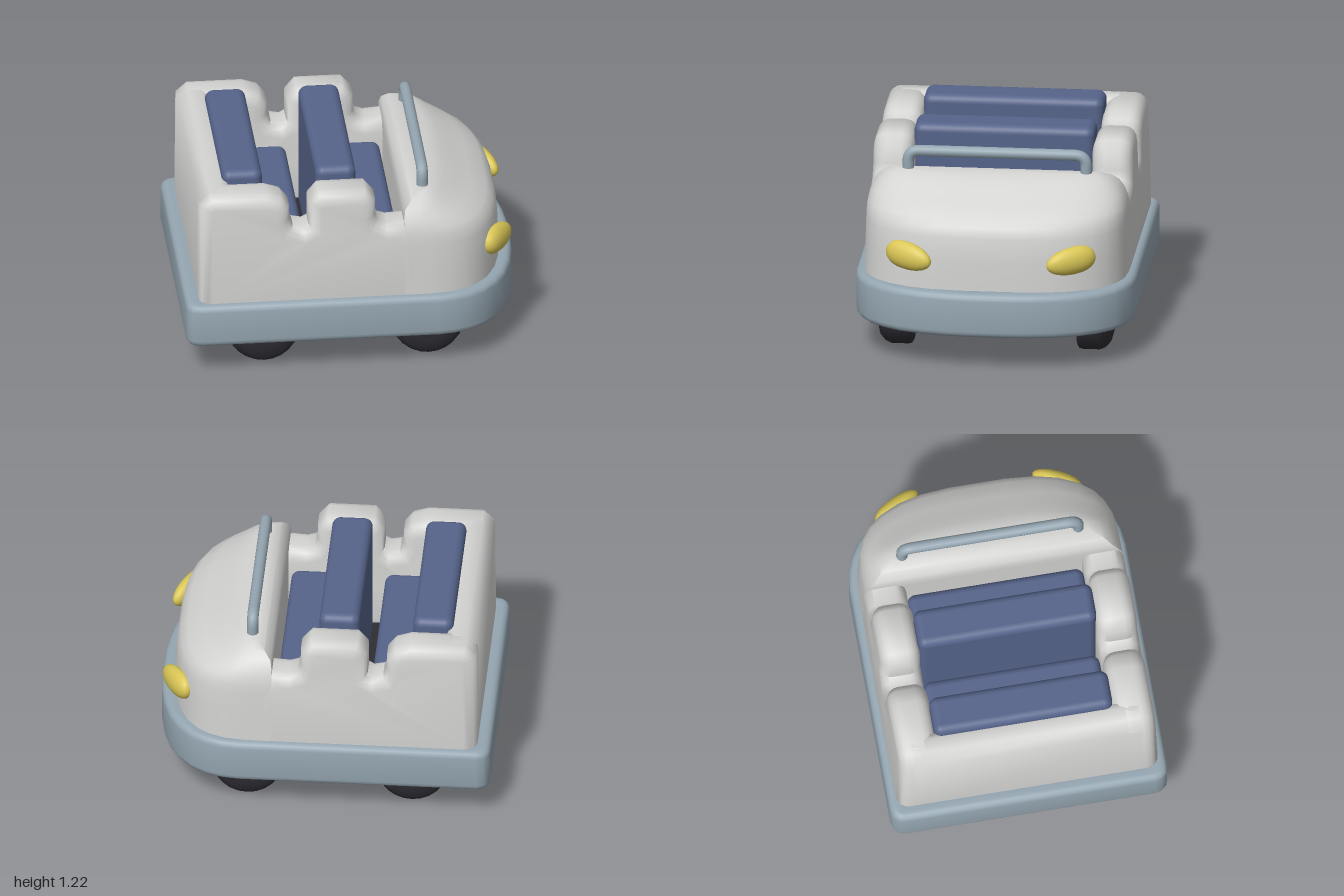
import * as THREE from 'three';
import { toCreasedNormals } from 'three/addons/utils/BufferGeometryUtils.js';
import { RoundedBoxGeometry } from 'three/addons/geometries/RoundedBoxGeometry.js';

const flat = (name, color) => {
  const m = new THREE.MeshStandardMaterial({ color });
  m.name = name;
  return m;
};

const shapeOf = (pts) => new THREE.Shape(pts.map(([x, y]) => new THREE.Vector2(x, y)));

// Extrusion whose bevel stays inside the given outline and depth
function extrude(shape, depth, bevel) {
  return new THREE.ExtrudeGeometry(shape, {
    depth: depth - 2 * bevel, bevelEnabled: bevel > 0, bevelSize: bevel,
    bevelThickness: bevel, bevelOffset: -bevel, bevelSegments: 4, curveSegments: 8,
  }).translate(0, 0, bevel);
}

// Chassis plan: square back, rounded nose, mirrored over the centre line
function planPoints(scale) {
  const half = [[-1, 0.75], [-0.99, 0.79], [-0.965, 0.82], [-0.92, 0.833], [0.5, 0.833], [0.6, 0.82], [0.69, 0.79],
    [0.78, 0.735], [0.86, 0.645], [0.92, 0.54], [0.965, 0.4], [0.99, 0.25], [1, 0.12]];
  return [...half, ...half.map(([x, y]) => [x, -y]).reverse()]
    .map(([x, y]) => [x * scale, y * scale]).reverse();
}

// Nose: stacked horizontal sections, each [height, back x, front x, half width]
function noseGeometry() {
  const layers = [[0.4, 0.3, 0.915, 0.791], [0.66, 0.3, 0.914, 0.784], [0.8, 0.3, 0.903, 0.78],
    [0.86, 0.3, 0.884, 0.776], [0.905, 0.3, 0.843, 0.768], [0.96, 0.3, 0.745, 0.748],
    [1.01, 0.31, 0.655, 0.715], [1.05, 0.35, 0.59, 0.67], [1.08, 0.4, 0.52, 0.6]];
  const half = [[0, 1], [0.25, 0.997], [0.45, 0.98], [0.6, 0.935], [0.72, 0.87], [0.83, 0.765],
    [0.92, 0.615], [0.975, 0.44], [1, 0.22]];
  const ring = [...half, ...half.map(([u, v]) => [u, -v]).reverse()];
  const n = ring.length, pos = [], idx = [];
  for (const [y, b, f, w] of layers) {
    for (const [u, v] of ring) pos.push(b + (f - b) * u, y, w * v);
  }
  for (let j = 0; j < layers.length - 1; j++) {
    for (let i = 0; i < n; i++) {
      const a = j * n + i, b = j * n + (i + 1) % n;
      idx.push(a, b, b + n, a, b + n, a + n);
    }
  }
  const top = (layers.length - 1) * n;
  for (let i = 1; i < n - 1; i++) idx.push(top, top + i, top + i + 1);
  const g = new THREE.BufferGeometry();
  g.setAttribute('position', new THREE.Float32BufferAttribute(pos, 3));
  g.setIndex(idx);
  return toCreasedNormals(g, 0.75);
}

// Side wall with two raised armrests and two entry dips
function sideWallGeometry() {
  const g = extrude(shapeOf([[-0.922, 0.4], [0.42, 0.4], [0.42, 0.8], [0.31, 0.94], [0.2, 0.932],
    [0.15, 0.95], [0.13, 1.0], [0.13, 1.1], [0.07, 1.17], [-0.21, 1.17], [-0.268, 1.1], [-0.268, 0.95],
    [-0.3, 0.932], [-0.36, 0.945], [-0.382, 1.0], [-0.382, 1.08], [-0.43, 1.14], [-0.52, 1.17],
    [-0.85, 1.17], [-0.917, 1.11]]), 0.26, 0.075).translate(0, 0, 0.53);
  // Lean the outer face slightly inwards with height
  const p = g.attributes.position;
  for (let i = 0; i < p.count; i++) {
    if (p.getZ(i) > 0.66) p.setZ(i, p.getZ(i) - 0.025 * (p.getY(i) - 0.4));
  }
  return toCreasedNormals(g, 0.9);
}

// Headlamp: blunt ellipsoid, fuller at its outer end
function lampGeometry() {
  const g = new THREE.SphereGeometry(1, 20, 14);
  const p = g.attributes.position;
  for (let i = 0; i < p.count; i++) {
    const z = p.getZ(i), k = 1 + 0.14 * z;
    p.setXYZ(i, p.getX(i) * k, p.getY(i) * k, Math.sign(z) * Math.abs(z) ** 0.85);
  }
  g.computeVertexNormals();
  return g;
}

export function createModel() {
  const model = new THREE.Group();
  const body = flat('body grey', 0xd3d3d2);
  const trim = flat('bumper blue grey', 0x95a6b1);
  const cloth = flat('seat blue', 0x56648a);
  const lamp = flat('lamp yellow', 0xd9c656);
  const dark = flat('rubber black', 0x2e2d33);

  const add = (name, geometry, material, x = 0, y = 0, z = 0) => {
    const mesh = new THREE.Mesh(geometry, material);
    mesh.name = name;
    mesh.position.set(x, y, z);
    model.add(mesh);
    return mesh;
  };

  // Bumper ring and recessed floor pan
  const ring = shapeOf(planPoints(1));
  ring.holes.push(new THREE.Path(planPoints(0.87).reverse().map(([x, y]) => new THREE.Vector2(x, y))));
  add('bumper', toCreasedNormals(extrude(ring, 0.27, 0.04).rotateX(-Math.PI / 2), 0.75), trim, 0, 0.21);
  add('floorPan', extrude(shapeOf(planPoints(0.9)), 0.07, 0).rotateX(-Math.PI / 2), dark, 0, 0.38);

  // Body shell
  add('nose', noseGeometry(), body);
  const wall = sideWallGeometry();
  add('leftWall', wall, body);
  add('rightWall', wall, body).scale.z = -1;
  const back = extrude(shapeOf([[-0.922, 0.4], [-0.72, 0.4], [-0.72, 1.12], [-0.735, 1.155], [-0.77, 1.17],
    [-0.85, 1.17], [-0.917, 1.11]]), 1.37, 0);
  add('backWall', toCreasedNormals(back, 0.9), body, 0, 0, -0.685);

  // Two bench seats
  for (const x of [-0.642, -0.085]) {
    add('seatBack', new RoundedBoxGeometry(0.24, 0.78, 1.075, 4, 0.05), cloth, x, 0.83);
    add('seatCushion', new RoundedBoxGeometry(0.25, 0.4, 1.06, 4, 0.05), cloth, x + 0.238, 0.625);
  }

  // Grab rail on the dashboard
  const rail = new THREE.CurvePath();
  const v = (y, z) => new THREE.Vector3(0.43, y, z);
  rail.add(new THREE.LineCurve3(v(1.02, 0.53), v(1.12, 0.53)));
  rail.add(new THREE.QuadraticBezierCurve3(v(1.12, 0.53), v(1.187, 0.53), v(1.187, 0.46)));
  rail.add(new THREE.LineCurve3(v(1.187, 0.46), v(1.187, -0.46)));
  rail.add(new THREE.QuadraticBezierCurve3(v(1.187, -0.46), v(1.187, -0.53), v(1.12, -0.53)));
  rail.add(new THREE.LineCurve3(v(1.12, -0.53), v(1.02, -0.53)));
  add('grabRail', new THREE.TubeGeometry(rail, 96, 0.034, 12), trim);

  // Headlamps, wheels and axles
  const lens = lampGeometry();
  const tyre = new THREE.LatheGeometry([[0, 0.49], [0.195, 0.49], [0.21, 0.5], [0.215, 0.52], [0.215, 0.62], [0.2, 0.655],
    [0.165, 0.685], [0.1, 0.702], [0, 0.708]].map(([r, y]) => new THREE.Vector2(r, y)), 24).rotateX(Math.PI / 2);
  for (const s of [1, -1]) {
    const light = add('headlamp', lens, lamp, 0.882, 0.675, s * 0.483);
    light.scale.set(0.058, 0.082, s * 0.16);
    light.rotation.set(-s * 0.12, -s * 0.53, 0);
    for (const x of [-0.525, 0.455]) add('wheel', tyre, dark, x, 0.215).scale.z = s;
  }
  for (const x of [-0.525, 0.455]) {
    add('axle', new THREE.CylinderGeometry(0.13, 0.13, 1.02, 24).rotateX(Math.PI / 2), dark, x, 0.215);
  }
  return model;
}
